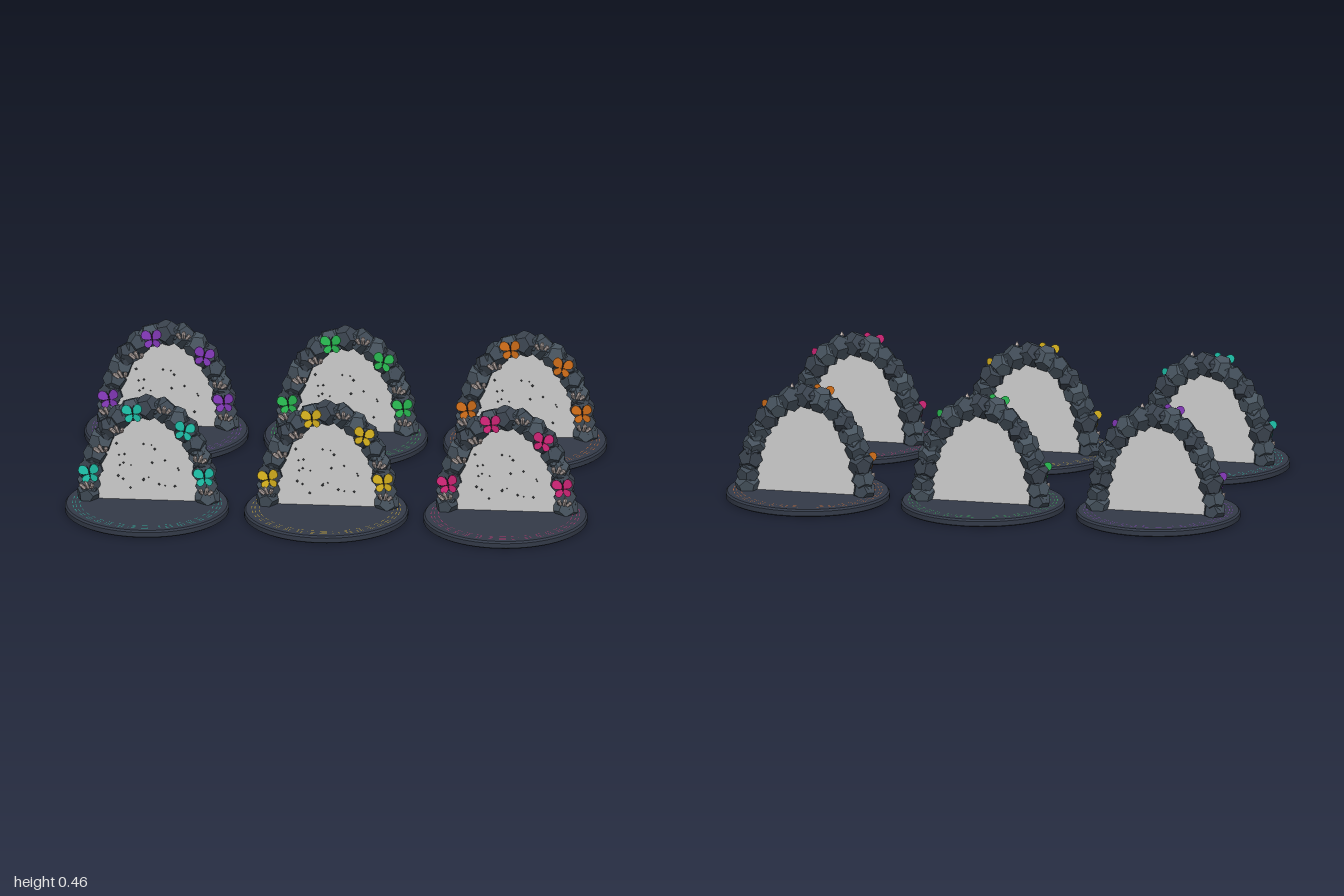
import * as THREE from 'three';

const material = (color, flat = true) => new THREE.MeshStandardMaterial({ color, flatShading: flat, side: THREE.DoubleSide });
const stoneMats = [0x3f4a55, 0x47535e, 0x3a434e].map(c => material(c));
const baseMat = material(0x333a48, false);
const veilMat = material(0xcccccc, false);
const speckMat = material(0x55585c);
const crystalMat = material(0xc4b6b2);
const bodyMat = material(0x25222a, false);

function seeded(seed) {
  return () => (seed = (seed * 16807) % 2147483647) / 2147483647;
}

function add(parent, name, geometry, mat, x = 0, y = 0, z = 0) {
  const mesh = new THREE.Mesh(geometry, mat);
  mesh.name = name;
  mesh.position.set(x, y, z);
  parent.add(mesh);
  return mesh;
}

// one rounded wing lobe growing from the origin along +x
function wingGeometry(length, width) {
  const s = new THREE.Shape();
  s.moveTo(0, 0);
  s.bezierCurveTo(length * 0.3, width * 0.6, length * 0.9, width * 0.9, length, width * 0.2);
  s.bezierCurveTo(length * 1.05, -width * 0.5, length * 0.4, -width * 0.6, 0, 0);
  return new THREE.ExtrudeGeometry(s, { depth: 0.003, bevelEnabled: false, curveSegments: 6 });
}
const upperWing = wingGeometry(0.052, 0.036);
const lowerWing = wingGeometry(0.038, 0.03);

function butterfly(mat) {
  const g = new THREE.Group();
  g.name = 'butterfly';
  const body = add(g, 'butterflyBody', new THREE.CapsuleGeometry(0.0035, 0.03, 3, 6), bodyMat, 0, 0, 0.002);
  body.rotation.x = 0.1;
  for (const side of [-1, 1]) {
    const pair = new THREE.Group();
    pair.name = 'wingPair';
    pair.scale.x = side;
    pair.rotation.y = -side * 0.45;
    add(pair, 'upperWing', upperWing, mat, 0, 0.002).rotation.z = 0.55;
    add(pair, 'lowerWing', lowerWing, mat, 0, -0.002).rotation.z = -0.75;
    g.add(pair);
    // antennae
    const feeler = add(g, 'antenna', new THREE.CylinderGeometry(0.0008, 0.0008, 0.018, 4), bodyMat, side * 0.004, 0.026, 0.003);
    feeler.rotation.z = -side * 0.4;
  }
  return g;
}

// three pointed crystals leaning forward and up
function crystalCluster() {
  const g = new THREE.Group();
  g.name = 'crystalCluster';
  [[-0.014, 0.036, 0.35], [0, 0.05, 0], [0.013, 0.03, -0.4]].forEach(([x, h, tilt]) => {
    const profile = [[0, 0], [0.007, 0], [0.0085, h * 0.7], [0, h]].map(p => new THREE.Vector2(...p));
    add(g, 'crystal', new THREE.LatheGeometry(profile, 5), crystalMat, x).rotation.z = tilt;
  });
  g.rotation.x = 0.65;
  return g;
}

const archPoint = (t, rx = 0.228, ry = 0.372) => [-Math.cos(t) * rx, 0.035 + Math.sin(t) * ry];

function portal(color) {
  const g = new THREE.Group();
  g.name = 'portal';
  const rand = seeded(4711);
  const colorMat = material(color);

  // round base with softened rim
  const rim = [[0, 0], [0.306, 0], [0.3135, 0.005], [0.3135, 0.023], [0.307, 0.03], [0, 0.03]];
  const baseGeo = new THREE.LatheGeometry(rim.map(p => new THREE.Vector2(...p)), 64);
  add(g, 'base', baseGeo, baseMat).material = Object.assign(baseMat.clone(), { flatShading: true });

  // broken coloured rings inlaid in the base
  const ringMat = material(new THREE.Color(color).lerp(new THREE.Color(0x333a48), 0.45));
  for (const r of [0.256, 0.272, 0.284]) {
    for (let i = 0; i < 36; i++) {
      const dash = new THREE.RingGeometry(r - 0.0012, r + 0.0012, 3, 1, i * Math.PI / 18, 0.1);
      add(g, 'ringDash', dash, ringMat, 0, 0.0305).rotation.x = -Math.PI / 2;
    }
  }

  const arch = new THREE.Group();
  arch.name = 'arch';
  arch.position.z = -0.035;
  g.add(arch);

  // stones spaced evenly along the arch
  const path = [];
  for (let i = 0; i <= 60; i++) path.push(new THREE.Vector3(...archPoint(i * Math.PI / 60), 0));
  const curve = new THREE.CatmullRomCurve3(path);
  const count = 16;
  for (let i = 0; i <= count; i++) {
    const p = curve.getPointAt(i / count);
    const r = 0.046 + rand() * 0.006;
    const stone = add(arch, 'archStone', new THREE.DodecahedronGeometry(r), stoneMats[i % 3], p.x, p.y, (rand() - 0.5) * 0.006);
    if (i === 0 || i === count) stone.position.y += 0.015;
    stone.rotation.set(rand() * 0.5, rand() * 0.5, rand() * 3);
    // smaller fill stones between neighbours
    if (i < count) {
      const q = curve.getPointAt((i + 0.5) / count);
      const fill = add(arch, 'fillStone', new THREE.IcosahedronGeometry(0.041), stoneMats[(i + 1) % 3], q.x, q.y);
      fill.rotation.set(rand() * 3, rand() * 3, 0);
    }
  }

  // flat veil filling the arch
  const veil = new THREE.Shape();
  veil.moveTo(-0.22, 0.028);
  for (let i = 0; i <= 32; i++) veil.lineTo(...archPoint(i * Math.PI / 32, 0.22, 0.36));
  veil.lineTo(0.22, 0.028);
  add(arch, 'veil', new THREE.ShapeGeometry(veil), veilMat);

  // specks floating just before the veil
  for (let i = 0; i < 22; i++) {
    const size = 0.003 + rand() * 0.003;
    add(arch, 'speck', new THREE.OctahedronGeometry(size), speckMat, (rand() - 0.5) * 0.24, 0.07 + rand() * 0.2, 0.008 + rand() * 0.008);
  }

  // butterflies: x, y, tilt
  [[-0.218, 0.148, 0.15], [-0.053, 0.397, 0.1], [0.145, 0.332, -0.2], [0.222, 0.146, 0.1]].forEach(([x, y, tilt]) => {
    const b = butterfly(colorMat);
    b.position.set(x, y, 0.053);
    b.rotation.z = tilt;
    arch.add(b);
  });

  // crystals: x, y, tilt
  [[-0.225, 0.085, 0.2], [-0.17, 0.235, 0.3], [-0.11, 0.315, 0.2], [0.065, 0.4, -0.1], [0.2, 0.205, -0.3], [0.225, 0.075, -0.2]].forEach(([x, y, tilt]) => {
    const c = crystalCluster();
    c.position.set(x, y, 0.04);
    c.rotation.z = tilt;
    arch.add(c);
  });
  return g;
}

export function createModel() {
  const model = new THREE.Group();
  model.name = 'portalSet';
  const rows = [
    [0.415, [0x1fc9b0, 0xe0b91f, 0xd9277c]],
    [-0.415, [0x8a3cc2, 0x2bc255, 0xd8721a]],
  ];
  for (const [z, colors] of rows) {
    colors.forEach((color, i) => {
      const p = portal(color);
      p.position.set((i - 1) * 0.6865, 0, z);
      model.add(p);
    });
  }
  return model;
}
